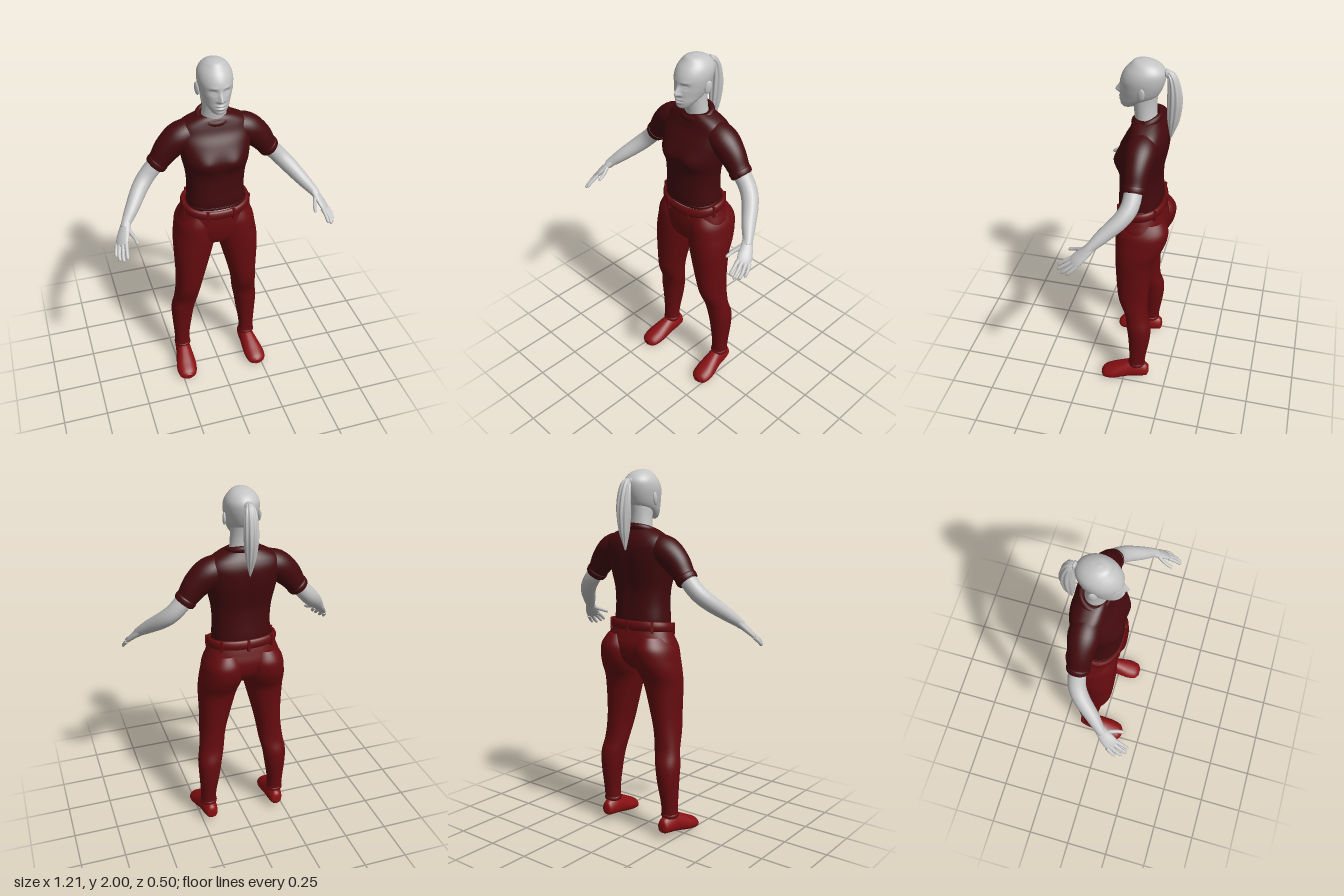
import * as THREE from 'three';

const material = (name, color) => Object.assign(new THREE.MeshStandardMaterial({ color }), { name });
const skin = material('pale skin', 0xc4c4c4);
const shirtRed = material('dark shirt red', 0x420a0d);
const trouserRed = material('trouser red', 0x660c0f);
const shoeRed = material('shoe red', 0x8a1013);

const TAU = Math.PI * 2;
const bump = (v, centre, width) => Math.exp(-(((v - centre) / width) ** 2));

// Fills in rows between the key rows with a smooth cubic
function refine(rows, steps) {
  const out = [];
  const last = rows.length - 1;
  for (let i = 0; i < last; i++) {
    const [a, b, c, d] = [rows[Math.max(i - 1, 0)], rows[i], rows[i + 1], rows[Math.min(i + 2, last)]];
    for (let s = 0; s < steps; s++) {
      const t = s / steps;
      out.push(b.map((_, k) => 0.5 * (2 * b[k] + (c[k] - a[k]) * t
        + (2 * a[k] - 5 * b[k] + 4 * c[k] - d[k]) * t * t + (3 * b[k] - a[k] - 3 * c[k] + d[k]) * t ** 3)));
    }
  }
  out.push(rows[last]);
  return out;
}

// Joins closed rings of points into a capped surface
function surface(rings) {
  const seg = rings[0].length, pos = [], index = [];
  rings.forEach((ring) => ring.forEach((p) => pos.push(p.x, p.y, p.z)));
  for (let i = 0; i < rings.length - 1; i++) {
    for (let j = 0; j < seg; j++) {
      const a = i * seg + j, b = i * seg + (j + 1) % seg;
      index.push(a, a + seg, b, b, a + seg, b + seg);
    }
  }
  [0, rings.length - 1].forEach((r) => {
    const c = rings[r].reduce((sum, p) => sum.add(p), new THREE.Vector3()).divideScalar(seg);
    const first = pos.length / 3;
    rings[r].forEach((p) => pos.push(p.x, p.y, p.z));
    pos.push(c.x, c.y, c.z);
    for (let j = 0; j < seg; j++) {
      const a = first + j, b = first + (j + 1) % seg;
      if (r === 0) index.push(first + seg, a, b); else index.push(first + seg, b, a);
    }
  });
  const g = new THREE.BufferGeometry();
  g.setAttribute('position', new THREE.Float32BufferAttribute(pos, 3));
  g.setIndex(index);
  g.computeVertexNormals();
  return g;
}

const rounded = (v, e) => Math.sign(v) * Math.abs(v) ** (2 / e);

// Upright body part, rows from the bottom up: [y, half width, back z, front z, centre x]
function stack(rows, { seg = 40, steps = 5, e = 2, deform } = {}) {
  return surface(refine(rows, steps).map(([y, rx, zb, zf, cx = 0]) => Array.from({ length: seg }, (_, j) => {
    const a = j / seg * TAU;
    const p = new THREE.Vector3(cx + rx * rounded(Math.cos(a), e), y,
      (zb + zf) / 2 + (zf - zb) / 2 * rounded(Math.sin(a), e));
    if (deform) deform(p, a);
    return p;
  })));
}

// Limb along a path, rows: [x, y, z, radius along side, radius across it]
function limb(rows, side, { seg = 20, steps = 5, lobes = 0 } = {}) {
  const path = refine(rows, steps), at = (i) => new THREE.Vector3(...path[i].slice(0, 3));
  return surface(path.map((row, i) => {
    const w = at(Math.min(i + 1, path.length - 1)).sub(at(Math.max(i - 1, 0))).normalize();
    const u = side.clone().addScaledVector(w, -side.dot(w)).normalize();
    const v = u.clone().cross(w);
    return Array.from({ length: seg }, (_, j) => {
      const a = j / seg * TAU, k = 1 + lobes * Math.cos(9 * a + i * 0.12);
      return at(i).addScaledVector(u, row[3] * k * Math.cos(a)).addScaledVector(v, row[4] * k * Math.sin(a));
    });
  }));
}

// Closed band around the body: centre line from a function, oval cross-section
function band(centre, thick, high, seg = 64) {
  const pos = [], index = [], m = 12;
  for (let i = 0; i < seg; i++) {
    const a = i / seg * TAU, c = centre(a);
    for (let j = 0; j < m; j++) {
      const b = j / m * TAU, r = thick * Math.cos(b);
      pos.push(c.x + r * Math.cos(a), c.y + high * Math.sin(b), c.z + r * Math.sin(a));
      const [n, k] = [(i + 1) % seg, (j + 1) % m];
      index.push(i * m + j, i * m + k, n * m + j, n * m + j, i * m + k, n * m + k);
    }
  }
  const g = new THREE.BufferGeometry();
  g.setAttribute('position', new THREE.Float32BufferAttribute(pos, 3));
  g.setIndex(index);
  g.computeVertexNormals();
  return g;
}

function mirrored(geometry) {
  const g = geometry.clone().scale(-1, 1, 1), ix = g.index.array;
  for (let i = 0; i < ix.length; i += 3) [ix[i], ix[i + 1]] = [ix[i + 1], ix[i]];
  g.computeVertexNormals();
  return g;
}

export function createModel() {
  const model = new THREE.Group();
  model.name = 'woman';
  const add = (name, geometry, mat) => {
    const mesh = new THREE.Mesh(geometry, mat);
    mesh.name = name;
    model.add(mesh);
  };
  const pair = (name, geometry, mat) => {
    add('left ' + name, geometry, mat);
    add('right ' + name, mirrored(geometry), mat);
  };
  const X = new THREE.Vector3(1, 0, 0), Z = new THREE.Vector3(0, 0, 1);

  // Head, with brow, eyes, nose, lips and chin raised from the front
  const face = (p, a) => {
    if (Math.sin(a) <= 0) return;
    const { x, y } = p, ax = Math.abs(x);
    const nose = y > 1.824 ? bump(y, 1.824, 0.032) : bump(y, 1.824, 0.009);
    p.z += 0.026 * nose * bump(x, 0, 0.011 + 0.006 * bump(y, 1.82, 0.012))
      - 0.011 * bump(ax, 0.034, 0.018) * bump(y, 1.866, 0.013)
      + 0.006 * bump(ax, 0.034, 0.011) * bump(y, 1.863, 0.007)
      + 0.004 * bump(ax, 0.034, 0.022) * bump(y, 1.887, 0.008)
      + bump(x, 0, 0.021) * (0.007 * bump(y, 1.795, 0.006) - 0.005 * bump(y, 1.787, 0.003) + 0.007 * bump(y, 1.779, 0.006))
      + 0.004 * bump(x, 0, 0.02) * bump(y, 1.755, 0.01);
  };
  add('head', stack([
    [1.742, 0.02, 0.01, 0.042], [1.752, 0.037, -0.02, 0.054], [1.78, 0.057, -0.07, 0.06], [1.81, 0.071, -0.125, 0.06],
    [1.85, 0.083, -0.15, 0.059], [1.9, 0.09, -0.165, 0.056], [1.94, 0.084, -0.165, 0.038],
    [1.972, 0.064, -0.14, 0.01], [1.992, 0.037, -0.1, -0.012], [2, 0.003, -0.058, -0.05]],
  { seg: 112, steps: 10, deform: face }), skin);
  add('neck', stack([[1.62, 0.085, -0.15, -0.02], [1.69, 0.067, -0.13, -0.014],
    [1.76, 0.059, -0.125, -0.006], [1.82, 0.058, -0.13, 0.01]]), skin);
  pair('ear', new THREE.SphereGeometry(1, 16, 12).scale(0.009, 0.034, 0.02)
    .rotateX(-0.2).rotateY(-0.3).translate(0.09, 1.848, -0.062), skin);

  // Gathered ponytail
  add('ponytail', limb([[0, 1.932, -0.14, 0.016, 0.016], [0, 1.938, -0.172, 0.015, 0.015], [0, 1.918, -0.194, 0.028, 0.022],
    [0, 1.86, -0.208, 0.035, 0.031], [0, 1.78, -0.213, 0.035, 0.037], [0, 1.69, -0.209, 0.026, 0.03],
    [0, 1.63, -0.204, 0.014, 0.016], [0, 1.585, -0.2, 0.003, 0.004]], X, { seg: 54, lobes: 0.09 }), skin);
  add('hair tie', new THREE.TorusGeometry(0.016, 0.006, 10, 24).translate(0, 1.937, -0.17), skin);

  // Shirt
  const bust = (p, a) => {
    if (Math.sin(a) > 0) p.z += 0.014 * bump(p.y, 1.465, 0.045) * bump(Math.abs(p.x), 0.08, 0.05);
    else p.z += 0.01 * bump(p.x, 0, 0.03) * bump(p.y, 1.45, 0.15);
  };
  add('shirt body', stack([
    [1.182, 0.157, -0.165, 0.06], [1.22, 0.158, -0.17, 0.064], [1.3, 0.155, -0.165, 0.06], [1.38, 0.162, -0.165, 0.06],
    [1.45, 0.177, -0.178, 0.074], [1.5, 0.186, -0.187, 0.067], [1.56, 0.198, -0.192, 0.042], [1.61, 0.2, -0.19, 0.014],
    [1.65, 0.178, -0.176, 0], [1.68, 0.128, -0.156, -0.01], [1.697, 0.085, -0.142, -0.02]],
  { seg: 64, e: 2.4, deform: bust }), shirtRed);
  add('collar', band((a) => new THREE.Vector3(0.083 * Math.cos(a), 1.685 - 0.022 * Math.sin(a),
    -0.078 + 0.066 * Math.sin(a)), 0.015, 0.018), shirtRed);
  add('shirt hem', band((a) => new THREE.Vector3(0.155 * rounded(Math.cos(a), 2.4), 1.188,
    -0.053 + 0.111 * rounded(Math.sin(a), 2.4)), 0.006, 0.01), shirtRed);
  pair('sleeve', limb([[0.1, 1.605, -0.085, 0.07, 0.07], [0.18, 1.582, -0.084, 0.08, 0.077], [0.245, 1.525, -0.082, 0.068, 0.072],
    [0.29, 1.467, -0.081, 0.058, 0.058], [0.317, 1.433, -0.08, 0.054, 0.053]], Z, { seg: 32 }), shirtRed);
  pair('sleeve hem', limb([[0.296, 1.459, -0.081, 0.054, 0.053], [0.3, 1.454, -0.081, 0.06, 0.059],
    [0.313, 1.437, -0.08, 0.058, 0.057], [0.318, 1.431, -0.08, 0.052, 0.05]], Z, { seg: 32 }), shirtRed);

  // Arms and hands
  pair('arm', limb([[0.28, 1.48, -0.08, 0.046, 0.046], [0.36, 1.39, -0.075, 0.046, 0.045], [0.415, 1.332, -0.038, 0.043, 0.044],
    [0.475, 1.268, 0.037, 0.036, 0.036], [0.515, 1.225, 0.085, 0.026, 0.027], [0.53, 1.205, 0.105, 0.024, 0.023]], Z), skin);
  const across = new THREE.Vector3(0.05, -0.015, -0.055);
  pair('palm', limb([[0.515, 1.225, 0.085, 0.026, 0.022], [0.535, 1.195, 0.115, 0.033, 0.018],
    [0.553, 1.165, 0.148, 0.038, 0.015], [0.563, 1.145, 0.168, 0.034, 0.011], [0.566, 1.138, 0.174, 0.02, 0.006]], across), skin);
  const fingers = {
    thumb: [[0.515, 1.2, 0.125], [0.494, 1.18, 0.172], [0.486, 1.165, 0.212]],
    'index finger': [[0.54, 1.158, 0.178], [0.546, 1.132, 0.22], [0.55, 1.108, 0.25]],
    'middle finger': [[0.556, 1.15, 0.172], [0.567, 1.12, 0.216], [0.57, 1.095, 0.247]],
    'ring finger': [[0.571, 1.143, 0.16], [0.584, 1.11, 0.198], [0.586, 1.088, 0.225]],
    'little finger': [[0.582, 1.14, 0.145], [0.596, 1.112, 0.174], [0.598, 1.092, 0.195]],
  };
  for (const [name, [base, mid, tip]] of Object.entries(fingers)) {
    const near = tip.map((v, k) => v + (mid[k] - v) * 0.2);
    pair(name, limb([[...base, 0.012, 0.011], [...mid, 0.0095, 0.009], [...near, 0.0085, 0.008], [...tip, 0.002, 0.002]],
      across, { seg: 12, steps: 4 }), skin);
  }

  // Midriff between shirt and trousers
  add('midriff', stack([[1.08, 0.16, -0.16, 0.045], [1.16, 0.152, -0.16, 0.056], [1.25, 0.145, -0.155, 0.05]]), skin);

  // Trousers
  add('trouser hips', stack([[0.925, 0.07, -0.09, 0.0], [0.95, 0.12, -0.14, 0.04], [1, 0.195, -0.185, 0.057],
    [1.07, 0.211, -0.2, 0.063], [1.13, 0.193, -0.188, 0.06], [1.165, 0.18, -0.178, 0.056]], { e: 2.3, seg: 56 }), trouserRed);
  pair('trouser leg', stack([
    [0.118, 0.207, -0.12, -0.03, 0.045], [0.2, 0.045, -0.13, -0.032, 0.207], [0.33, 0.059, -0.15, -0.025, 0.201],
    [0.42, 0.067, -0.152, -0.014, 0.195], [0.5, 0.07, -0.132, -0.003, 0.18], [0.6, 0.072, -0.13, 0.036, 0.168],
    [0.7, 0.082, -0.135, 0.05, 0.155], [0.86, 0.106, -0.152, 0.06, 0.136], [0.94, 0.116, -0.19, 0.063, 0.124],
    [1, 0.114, -0.215, 0.063, 0.117], [1.07, 0.104, -0.222, 0.06, 0.113], [1.13, 0.07, -0.19, 0.04, 0.11]]
    .map((r, i) => (i ? r : [r[0], r[4], r[2], r[3], r[1]])), { e: 2.15 }), trouserRed);
  pair('trouser cuff', band((a) => new THREE.Vector3(0.207 + 0.043 * Math.cos(a), 0.13, -0.076 + 0.044 * Math.sin(a)),
    0.006, 0.012, 32), trouserRed);

  // Belt, dipping at the front, with loops
  const beltLine = (a) => new THREE.Vector3(0.178 * rounded(Math.cos(a), 2.3), 1.165 - 0.022 * Math.sin(a) + 0.012 * Math.cos(a) ** 2,
    -0.06 + 0.117 * rounded(Math.sin(a), 2.3));
  add('belt', band(beltLine, 0.014, 0.027, 80), trouserRed);
  [0.08, 0.39, 0.61, 0.92, 1.25, 1.5, 1.75].forEach((t, i) => {
    const a = t * Math.PI, c = beltLine(a);
    add('belt loop ' + (i + 1), new THREE.BoxGeometry(0.014, 0.062, 0.014).rotateY(Math.PI / 2 - a)
      .translate(c.x + 0.01 * Math.cos(a), c.y - 0.004, c.z + 0.01 * Math.sin(a)), trouserRed);
  });

  // Shoes, rows from heel to toe: [z, centre x, half width, bottom, top]
  const shoe = refine([[-0.147, 0.203, 0.012, 0.055, 0.085], [-0.137, 0.203, 0.032, 0.038, 0.115], [-0.09, 0.205, 0.044, 0.03, 0.134],
    [-0.04, 0.208, 0.048, 0.022, 0.134], [0.02, 0.214, 0.057, 0.01, 0.108], [0.07, 0.219, 0.061, 0.003, 0.083],
    [0.115, 0.221, 0.05, 0.001, 0.06], [0.135, 0.221, 0.022, 0.01, 0.04]], 5)
    .map(([z, cx, rx, yb, yt]) => Array.from({ length: 32 }, (_, j) => {
      const a = j / 32 * TAU, s = rounded(Math.sin(a), 2.5);
      const width = 1 - 0.25 * Math.max(0, -s);
      return new THREE.Vector3(cx + rx * width * rounded(Math.cos(a), 2.5), (yb + yt) / 2 - (yt - yb) / 2 * s, z);
    }));
  pair('shoe', surface(shoe), shoeRed);

  return model;
}
